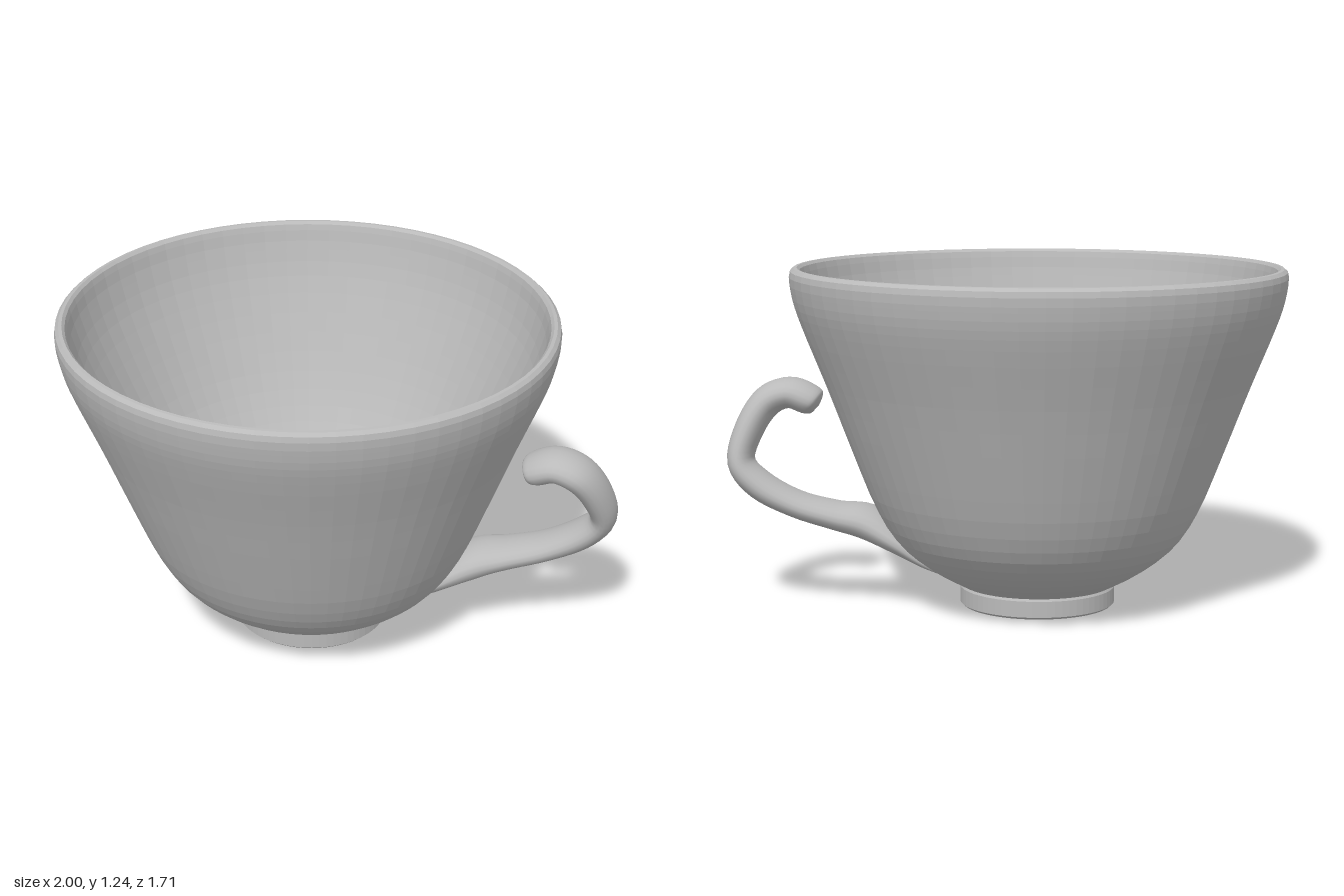
import * as THREE from 'three';

const glaze = new THREE.MeshStandardMaterial({ color: 0xbababa });
glaze.name = 'greyGlaze';

const v2 = (list) => list.map(([x, y]) => new THREE.Vector2(x, y));
const smooth = (list, n) => new THREE.SplineCurve(v2(list)).getPoints(n);

function lathe(name, points) {
  // faceted look: every face keeps its own normal
  const geo = new THREE.LatheGeometry(points, 64).toNonIndexed();
  geo.computeVertexNormals();
  const mesh = new THREE.Mesh(geo, glaze);
  mesh.name = name;
  return mesh;
}

// Sweep of oval sections; each station is [x, y, z, radius in the bend plane, half width in z]
function loft(stations, steps, sides) {
  const path = new THREE.CatmullRomCurve3(stations.map((s) => new THREE.Vector3(s[0], s[1], s[2])), false, 'catmullrom', 0.5);
  const size = new THREE.CatmullRomCurve3(stations.map((s) => new THREE.Vector3(s[3], s[4], 0)), false, 'catmullrom', 0.5);
  const pos = [], index = [];
  for (let i = 0; i <= steps; i++) {
    const c = path.getPoint(i / steps), t = path.getTangent(i / steps), r = size.getPoint(i / steps);
    const len = Math.hypot(t.x, t.y) || 1;
    for (let j = 0; j < sides; j++) {
      const a = (j / sides) * Math.PI * 2;
      const k = Math.cos(a) * r.x / len;
      pos.push(c.x - t.y * k, c.y + t.x * k, c.z + Math.sin(a) * r.y);
      if (i === steps) continue;
      const p = i * sides + j, q = i * sides + (j + 1) % sides;
      index.push(p, q, p + sides, q, q + sides, p + sides);
    }
  }
  const geo = new THREE.BufferGeometry();
  geo.setAttribute('position', new THREE.Float32BufferAttribute(pos, 3));
  geo.setIndex(index);
  geo.computeVertexNormals();
  return geo;
}

export function createModel() {
  const model = new THREE.Group();
  model.name = 'teacup';

  // Slightly oval, slightly tilted cup
  const cup = new THREE.Group();
  cup.name = 'cup';
  cup.position.set(-0.115, 0, -0.012);
  cup.rotation.x = 0.011;
  cup.scale.z = 0.966;
  model.add(cup);

  cup.add(lathe('foot', v2([[0, 0.004], [0.272, 0.004], [0.281, 0.012], [0.281, 0.07], [0.272, 0.085]])));

  // Outer wall, rounded rim, inner wall easing into a cone, and floor
  const outer = smooth([[0.27, 0.075], [0.395, 0.145], [0.508, 0.24], [0.588, 0.37], [0.668, 0.57],
    [0.755, 0.8], [0.835, 1.0], [0.87, 1.1], [0.884, 1.17]], 22);
  const rim = v2([[0.886, 1.2], [0.882, 1.22], [0.87, 1.231], [0.858, 1.232], [0.848, 1.222], [0.842, 1.2]]);
  const inner = smooth([[0.834, 1.16], [0.795, 1.03], [0.71, 0.83], [0.61, 0.63], [0.505, 0.47],
    [0.36, 0.3], [0.195, 0.125]], 18);
  const floor = v2([[0.188, 0.12], [0, 0.12]]);
  cup.add(lathe('bowl', [...outer, ...rim, ...inner, ...floor]));

  // Open hooked handle, flaring where it grows out of the bowl
  const handle = new THREE.Mesh(loft([
    [0.19, 0.115, -0.05, 0.01, 0.08],
    [0.29, 0.175, -0.055, 0.03, 0.12],
    [0.39, 0.245, -0.06, 0.05, 0.135],
    [0.50, 0.305, -0.07, 0.062, 0.12],
    [0.61, 0.332, -0.095, 0.052, 0.1],
    [0.75, 0.375, -0.115, 0.048, 0.09],
    [0.88, 0.445, -0.125, 0.052, 0.085],
    [0.95, 0.53, -0.115, 0.048, 0.085],
    [0.925, 0.645, -0.07, 0.053, 0.093],
    [0.868, 0.735, -0.03, 0.057, 0.098],
    [0.79, 0.767, -0.02, 0.056, 0.095],
    [0.72, 0.745, -0.02, 0.055, 0.09],
    [0.69, 0.728, -0.02, 0.042, 0.07],
    [0.68, 0.722, -0.02, 0, 0],
  ], 65, 20), glaze);
  handle.name = 'handle';
  model.add(handle);

  return model;
}
